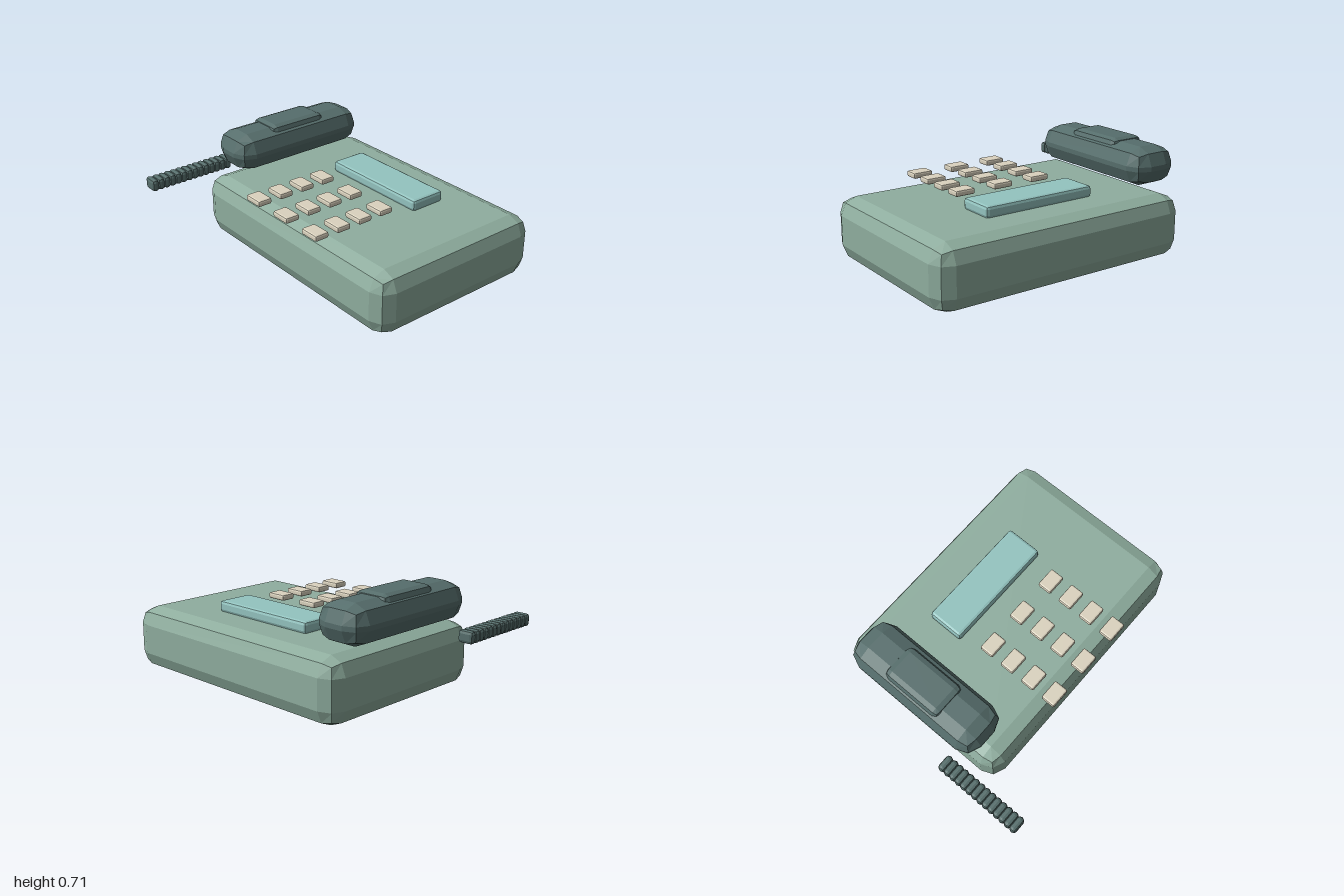
import * as THREE from 'three';
import { RoundedBoxGeometry } from 'three/addons/geometries/RoundedBoxGeometry.js';

const paint = (color) => new THREE.MeshStandardMaterial({ color, flatShading: true });

// Bevelled box with two facets along each edge
function block(name, material, [w, h, d], radius, [x, y, z]) {
  const mesh = new THREE.Mesh(new RoundedBoxGeometry(w, h, d, 1, radius), material);
  mesh.name = name;
  mesh.position.set(x, y, z);
  return mesh;
}

export function createModel() {
  const model = new THREE.Group();
  model.name = 'deskTelephone';

  const bodyGreen = paint(0x8fae9f);
  const darkGreen = paint(0x566e6c);
  const screenTeal = paint(0x94c4c0);
  const keyCream = paint(0xdbd3bf);

  // Body and display
  model.add(block('body', bodyGreen, [1.8, 0.412, 1.26], 0.11, [0.1, 0.206, -0.172]));
  model.add(block('screen', screenTeal, [0.787, 0.076, 0.25], 0.02, [0.097, 0.445, -0.381]));

  // Handset lying along the right side, with a raised grip
  const handset = new THREE.Group();
  handset.name = 'handset';
  handset.add(block('handsetBody', darkGreen, [0.345, 0.25, 1.01], 0.11, [-0.692, 0.57, -0.175]));
  handset.add(block('handsetGrip', darkGreen, [0.248, 0.09, 0.44], 0.044, [-0.695, 0.667, -0.175]));
  model.add(handset);

  // Keypad: four rows of three keys
  const keypad = new THREE.Group();
  keypad.name = 'keypad';
  for (let row = 0; row < 4; row++) {
    for (let col = 0; col < 3; col++) {
      keypad.add(block('key', keyCream, [0.14, 0.04, 0.1], 0.012,
        [-0.19 + col * 0.285, 0.457, -0.065 + row * 0.168]));
    }
  }
  model.add(keypad);

  // Coiled cord: a straight run of small links
  const cord = new THREE.Group();
  cord.name = 'cord';
  for (let i = 0; i < 14; i++) {
    cord.add(block('cordLink', darkGreen, [0.107, 0.083, 0.048], 0.021,
      [-0.9465, 0.382, 0.204 + i * 0.044]));
  }
  model.add(cord);

  return model;
}
